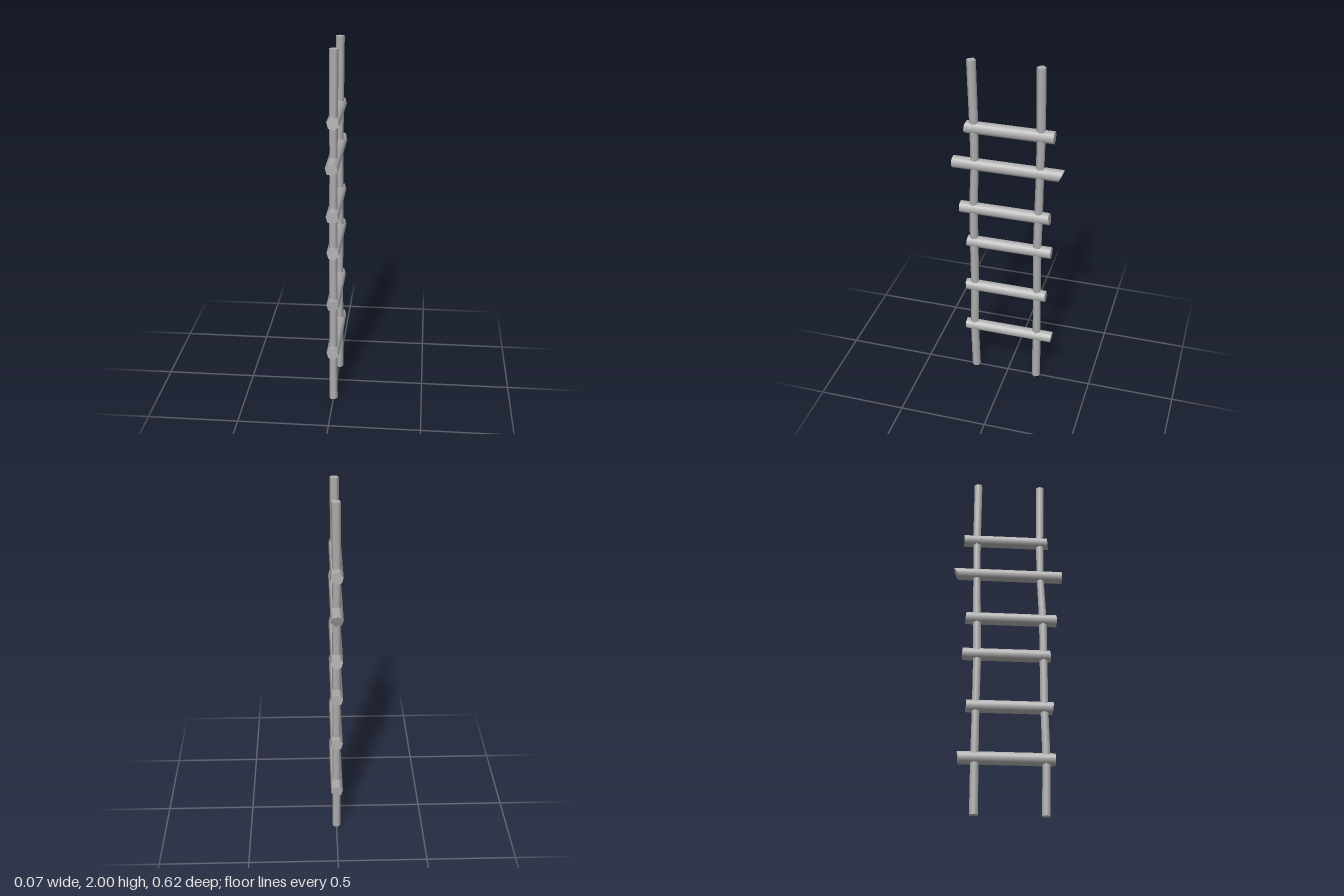
import * as THREE from 'three';

const wood = new THREE.MeshStandardMaterial({ color: 0xb0b0b0 });
wood.name = 'grey wood';
const deg = Math.PI / 180;

// Six-sided pole whose rows of vertices follow the points [y, x, z, radius]
function makeRail(name, points) {
  const last = points.length - 1;
  const geo = new THREE.CylinderGeometry(1, 1, 1, 6, last, false, 20 * deg);
  const pos = geo.attributes.position;
  for (let i = 0; i < pos.count; i++) {
    const [y, x, z, r] = points[Math.round((pos.getY(i) + 0.5) * last)];
    pos.setXYZ(i, x + pos.getX(i) * r, y, z + pos.getZ(i) * r);
  }
  const mesh = new THREE.Mesh(geo, wood);
  mesh.name = name;
  return mesh;
}

// Six-sided rung along z; each end is cut on a slant, z = end + sx * x + sy * y
function makeRung(name, { y, front, back, frontCut = [0, 0], backCut = [0, 0] }) {
  const geo = new THREE.CylinderGeometry(0.035, 0.035, 1, 6, 1, false, 15 * deg);
  geo.rotateX(Math.PI / 2);
  const pos = geo.attributes.position;
  const nor = geo.attributes.normal;
  for (let i = 0; i < pos.count; i++) {
    const isFront = pos.getZ(i) > 0;
    const [sx, sy] = isFront ? frontCut : backCut;
    pos.setZ(i, (isFront ? front : back) + sx * pos.getX(i) + sy * pos.getY(i));
    // Tilt the normals of the cut faces
    if (Math.abs(nor.getZ(i)) > 0.9) {
      const n = new THREE.Vector3(-sx, -sy, 1).normalize().multiplyScalar(isFront ? 1 : -1);
      nor.setXYZ(i, n.x, n.y, n.z);
    }
  }
  const mesh = new THREE.Mesh(geo, wood);
  mesh.name = name;
  mesh.position.y = y;
  return mesh;
}

export function createModel() {
  const ladder = new THREE.Group();
  ladder.name = 'ladder';

  // Slightly crooked upright poles
  ladder.add(makeRail('frontRail', [
    [0, 0, 0.2, 0.025], [0.3, 0, 0.206, 0.024], [0.6, 0, 0.199, 0.024],
    [0.9, 0, 0.199, 0.024], [1.12, 0, 0.199, 0.024], [1.4, 0, 0.187, 0.022],
    [1.62, 0, 0.187, 0.024], [2, 0.003, 0.194, 0.025],
  ]));
  ladder.add(makeRail('backRail', [
    [0, 0, -0.175, 0.025], [0.3, 0, -0.175, 0.024], [0.6, 0, -0.172, 0.022],
    [0.9, 0, -0.168, 0.024], [1.12, 0, -0.172, 0.024], [1.4, 0, -0.176, 0.022],
    [1.62, 0, -0.178, 0.024], [2, 0.003, -0.174, 0.025],
  ]));

  // Rungs of uneven length, from the bottom up
  const rungs = [
    { y: 0.305, front: 0.253, back: -0.264, backCut: [0, -0.12] },
    { y: 0.595, front: 0.246, back: -0.224, frontCut: [0, 0.1] },
    { y: 0.9, front: 0.236, back: -0.25, frontCut: [0, -0.08] },
    { y: 1.12, front: 0.274, back: -0.235, backCut: [0, 0.12] },
    { y: 1.398, front: 0.31, back: -0.293, backCut: [0, -0.45] },
    { y: 1.618, front: 0.232, back: -0.251, frontCut: [0.12, -0.1] },
  ];
  rungs.forEach((rung, i) => ladder.add(makeRung(`rung${i + 1}`, rung)));
  return ladder;
}
